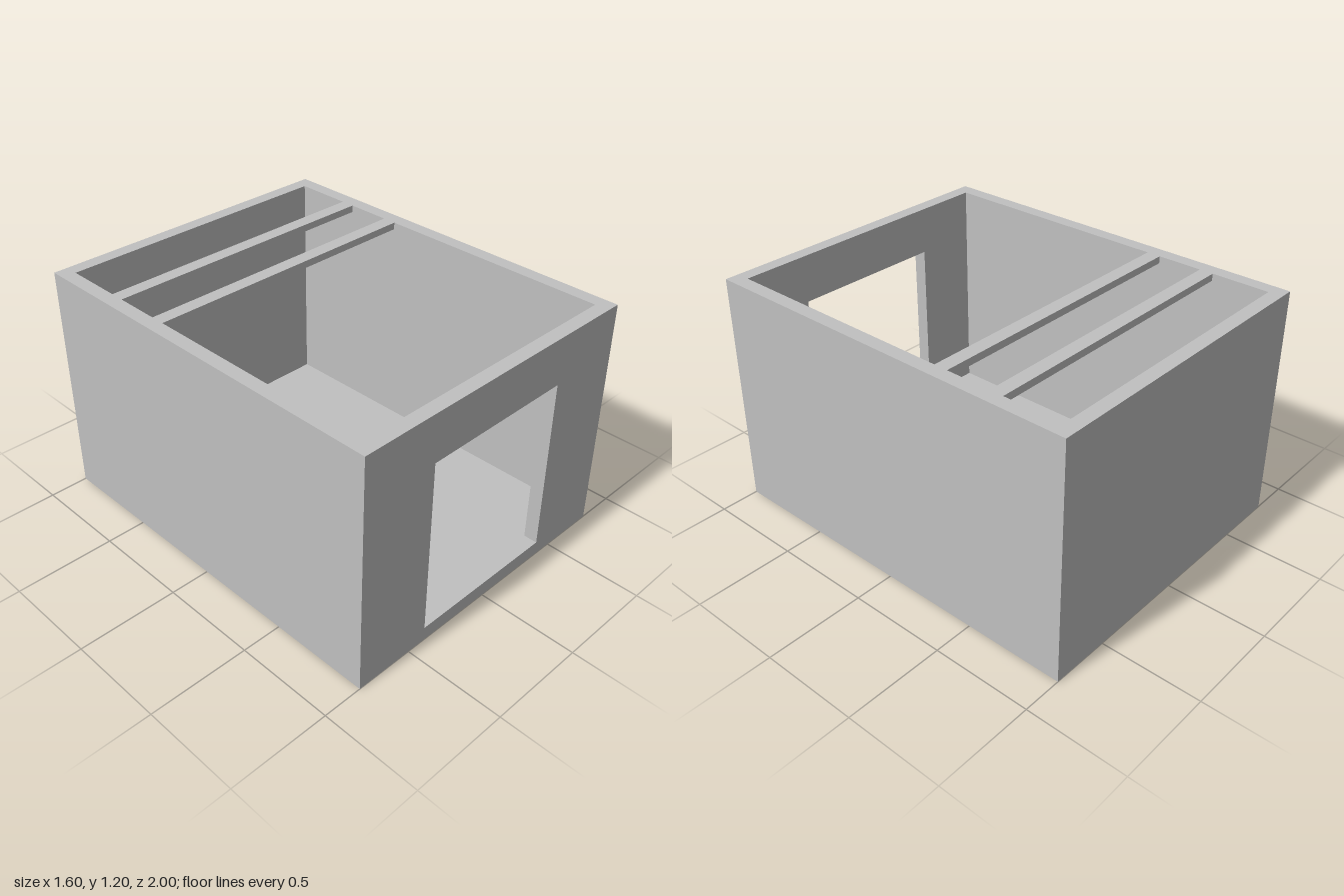
import * as THREE from 'three';

const W = 1.6, D = 2, H = 1.2, T = 0.07;

export function createModel() {
  const group = new THREE.Group();
  const grey = new THREE.MeshStandardMaterial({ color: 0xc0c0c0 });
  grey.name = 'plain grey';

  const add = (name, geometry, x, y, z) => {
    const mesh = new THREE.Mesh(geometry, grey);
    mesh.name = name;
    mesh.position.set(x, y, z);
    group.add(mesh);
  };
  const box = (name, w, h, d, x, y, z) => add(name, new THREE.BoxGeometry(w, h, d), x, y, z);

  const inner = W - 2 * T;
  const wallH = H - T;

  // Floor slab, with the walls standing on it
  box('floor', W, T, D, 0, T / 2, 0);
  for (const [name, side] of [['leftWall', 1], ['rightWall', -1]]) {
    box(name, T, wallH, D, side * (W - T) / 2, T + wallH / 2, 0);
  }
  box('backWall', inner, wallH, T, 0, T + wallH / 2, -(D - T) / 2);

  // Front wall, notched by a doorway that reaches the floor
  const outline = [
    [-inner / 2, T], [-0.4, T], [-0.4, 0.96], [0.4, 0.96],
    [0.4, T], [inner / 2, T], [inner / 2, H], [-inner / 2, H],
  ];
  const front = new THREE.Shape(outline.map(([x, y]) => new THREE.Vector2(x, y)));
  add('frontWall', new THREE.ExtrudeGeometry(front, { depth: T, bevelEnabled: false }), 0, 0, D / 2 - T);

  // Thin cross beams, flush with the top of the walls
  const beamH = 0.036;
  for (const z of [-0.603, -0.307]) {
    box('crossBeam', inner, beamH, T, 0, H - beamH / 2, z);
  }

  return group;
}
